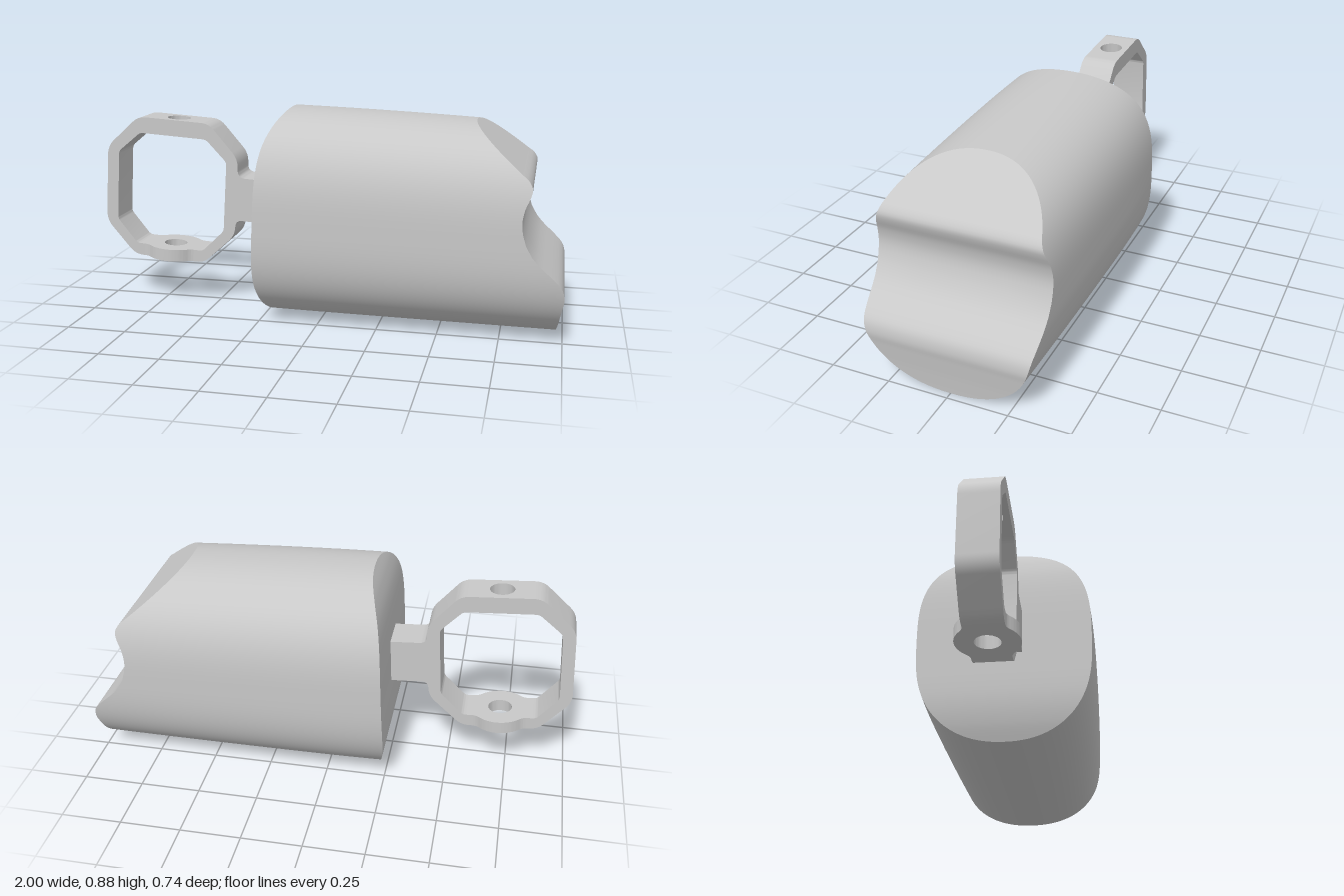
import * as THREE from 'three';
import { toCreasedNormals } from 'three/addons/utils/BufferGeometryUtils.js';

const V = (x, y) => new THREE.Vector2(x, y);

// Grid surface; the front side faces du x dv
function grid(nu, nv, fn) {
  const pos = [], idx = [];
  for (let j = 0; j <= nv; j++)
    for (let i = 0; i <= nu; i++) pos.push(...fn(i / nu, j / nv));
  for (let j = 0; j < nv; j++)
    for (let i = 0; i < nu; i++) {
      const a = j * (nu + 1) + i, b = a + 1, d = a + nu + 1, c = d + 1;
      idx.push(a, b, c, a, c, d);
    }
  const g = new THREE.BufferGeometry();
  g.setAttribute('position', new THREE.Float32BufferAttribute(pos, 3));
  g.setIndex(idx);
  g.computeVertexNormals();
  return g;
}

// Turns [y, x] points into a smooth lookup x(y)
function profile(points) {
  const pts = new THREE.SplineCurve(points.map(([y, x]) => V(y, x))).getPoints(400);
  return (y) => {
    let k = 1;
    while (k < pts.length - 1 && pts[k].x < y) k++;
    const a = pts[k - 1], b = pts[k];
    return a.y + (b.y - a.y) * (y - a.x) / (b.x - a.x);
  };
}

// Closed shape from [x, y, radius] corners, each rounded by its radius
function roundedShape(corners) {
  const s = new THREE.Shape(), n = corners.length;
  corners.forEach(([x, y, r = 0], i) => {
    const p = V(x, y);
    const toward = (q) => V(q[0], q[1]).sub(p).setLength(r).add(p);
    const a = r ? toward(corners[(i + n - 1) % n]) : p;
    if (i === 0) s.moveTo(a.x, a.y); else s.lineTo(a.x, a.y);
    if (r) {
      const b = toward(corners[(i + 1) % n]);
      s.quadraticCurveTo(x, y, b.x, b.y);
    }
  });
  s.closePath();
  return s;
}

const extrude = (shape, depth, curveSegments) => toCreasedNormals(
  new THREE.ExtrudeGeometry(shape, { depth, curveSegments, bevelEnabled: false }), 0.6);

export function createModel() {
  const model = new THREE.Group();
  model.name = 'fitting';
  const grey = new THREE.MeshStandardMaterial({ color: 0xc8c8c8 });
  grey.name = 'lightGrey';
  const add = (parent, name, geometry) => {
    const m = new THREE.Mesh(geometry, grey);
    m.name = name;
    parent.add(m);
    return m;
  };

  // Body: tapered rounded sleeve trimmed by a profile at each end
  const rightEnd = profile([
    [-0.01, 0.969], [0, 0.97], [0.08, 0.98], [0.158, 0.992], [0.206, 0.999], [0.254, 0.988],
    [0.296, 0.95], [0.35, 0.892], [0.409, 0.85], [0.489, 0.828], [0.553, 0.834],
    [0.606, 0.855], [0.638, 0.861], [0.668, 0.845], [0.69, 0.818], [0.77, 0.72],
    [0.85, 0.622], [0.9, 0.56]]);
  const leftEnd = profile([
    [-0.01, -0.202], [0, -0.206], [0.077, -0.232], [0.158, -0.247], [0.25, -0.25], [0.41, -0.243],
    [0.62, -0.232], [0.74, -0.216], [0.82, -0.19], [0.879, -0.158], [0.9, -0.143]]);
  const bend = (v, power) => Math.sign(v) * Math.abs(v) ** (2 / power);
  function section(x, t) {
    const d = x + 0.16;
    const top = 0.882 - 0.025 * d - 0.018 * d * d;
    const bottom = 0.004 * Math.max(0, 1 - x);
    const half = 0.368 - 0.018 * (x - 0.05) ** 2 - (x < 0.05 ? 0.06 * (x - 0.05) ** 2 : 0);
    const y = (top + bottom) / 2 + (top - bottom) / 2 * bend(Math.sin(t), 3);
    return [x, y, half * bend(Math.cos(t), 2.2)];
  }
  function endPoint(end, t) {
    let x = end(0.44);
    for (let k = 0; k < 10; k++) x = end(section(x, t)[1]);
    return section(x, t);
  }
  const body = new THREE.Group();
  body.name = 'body';
  model.add(body);
  add(body, 'bodySleeve', grid(16, 192, (u, v) => {
    const t = -Math.PI / 2 + v * Math.PI * 2;
    const x0 = endPoint(leftEnd, t)[0], x1 = endPoint(rightEnd, t)[0];
    return section(x0 + (x1 - x0) * u, t);
  }));
  const capPoint = (end, up, across) => {
    const [x, y, z] = endPoint(end, (up - 0.5) * Math.PI);
    return [x, y, z * (across * 2 - 1)];
  };
  add(body, 'contouredEnd', grid(96, 4, (u, v) => capPoint(rightEnd, u, v)));
  add(body, 'rearEnd', grid(4, 96, (u, v) => capPoint(leftEnd, v, u)));

  // Bracket: slightly tilted octagonal loop
  const bracket = new THREE.Group();
  bracket.name = 'bracket';
  bracket.position.set(-0.692, 0.505, 0);
  bracket.rotation.z = -0.064;
  model.add(bracket);
  const halfDepth = 0.077, joint = 0.12;

  // Side frames, the inner one carrying the tongue that enters the body
  const frame = (sx, tongue) => roundedShape([
    [joint, 0.31], [0.16, 0.31, 0.035], [0.298, 0.168, 0.04],
    ...tongue,
    [0.298, -0.168, 0.04], [0.16, -0.31, 0.035], [joint, -0.31],
    [joint, -0.257], [0.153, -0.257, 0.015], [0.246, -0.155, 0.015],
    [0.246, 0.15, 0.015], [0.15, 0.24, 0.015], [joint, 0.24],
  ].map(([x, y, r]) => [x * sx, y, r]));
  const tongue = [[0.298, 0.088, 0.036], [0.52, 0.088], [0.52, -0.1], [0.298, -0.1, 0.03]];
  for (const [name, sx, extra] of [['outerFrame', -1, []], ['tongueFrame', 1, tongue]])
    add(bracket, name, extrude(frame(sx, extra), halfDepth * 2, 8)).position.z = -halfDepth;

  // Drilled bars; the lower one widens into a round boss
  function bar(boss) {
    const s = new THREE.Shape();
    s.moveTo(-joint, -halfDepth);
    const a = 0.83, r = 0.123;
    for (const k of [-1, 1]) {
      if (boss) {
        s.lineTo(k * 0.117, k * halfDepth);
        s.quadraticCurveTo(k * 0.098, k * halfDepth, k * r * Math.cos(a), k * r * Math.sin(a));
        const turn = k < 0 ? Math.PI : 0;
        s.absarc(0, 0, r, a + turn, Math.PI - a + turn, false);
        s.quadraticCurveTo(-k * 0.098, k * halfDepth, -k * 0.117, k * halfDepth);
      }
      s.lineTo(-k * joint, k * halfDepth);
      if (k < 0) s.lineTo(joint, halfDepth);
    }
    s.closePath();
    s.holes.push(new THREE.Path().absarc(0, 0, 0.05, 0, Math.PI * 2, true));
    return s;
  }
  for (const [name, y, height, boss] of [['upperBar', 0.24, 0.07, false], ['lowerBossBar', -0.31, 0.053, true]])
    add(bracket, name, extrude(bar(boss), height, 20).rotateX(-Math.PI / 2)).position.y = y;

  return model;
}
